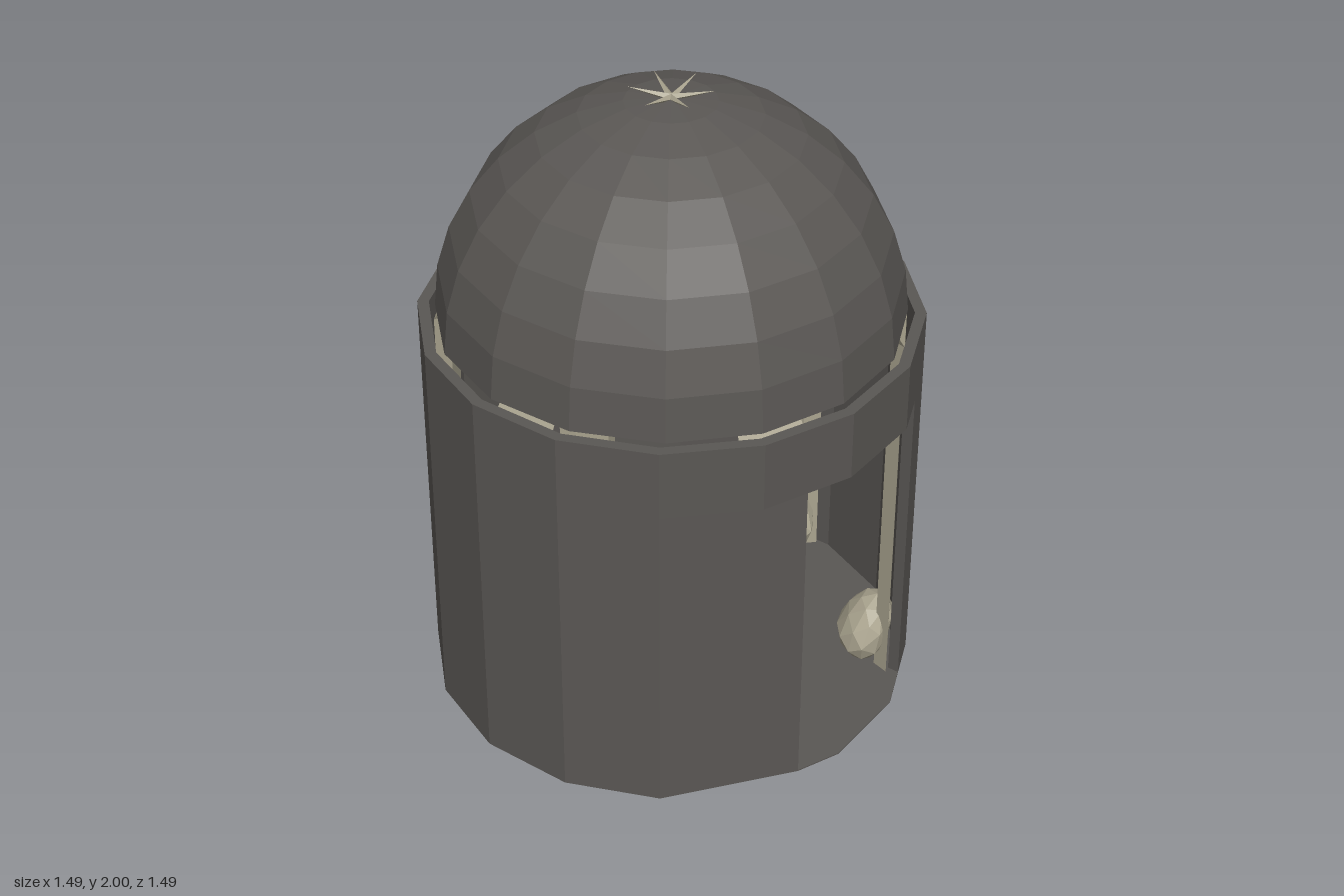
import * as THREE from 'three';

const stone = new THREE.MeshStandardMaterial({ color: 0x5a5754, flatShading: true, side: THREE.DoubleSide });
stone.name = 'darkStone';
const bone = new THREE.MeshStandardMaterial({ color: 0xaaa48f, flatShading: true, side: THREE.DoubleSide });
bone.name = 'paleBone';

const SIDES = 16, STEP = Math.PI * 2 / SIDES;
const WALL_TOP = 1.27, DOOR_TOP = 1.05, DOOR_HALF = 0.285;
const OUTER = 0.76, INNER = 0.725, DOME = 0.705;

function addMesh(parent, name, geometry, material) {
  const mesh = new THREE.Mesh(geometry, material);
  mesh.name = name;
  parent.add(mesh);
  return mesh;
}

// Corner k of a 16-sided ring, counted from the front facet
function corner(radius, k) {
  const a = -Math.PI / 2 + (k + 0.5) * STEP;
  return new THREE.Vector2(Math.cos(a) * radius, Math.sin(a) * radius);
}
const ring = (radius) => Array.from({ length: SIDES }, (_, k) => corner(radius, k));

// Where the door edge crosses the second facet
function doorPoint(radius, side) {
  const a = corner(radius, 0), b = corner(radius, 1);
  const y = a.y + (b.y - a.y) * (DOOR_HALF - a.x) / (b.x - a.x);
  return new THREE.Vector2(side * DOOR_HALF, y);
}

function extrudeUp(shape, bottom, top) {
  const g = new THREE.ExtrudeGeometry(shape, { depth: top - bottom, bevelEnabled: false });
  return g.rotateX(-Math.PI / 2).translate(0, bottom, 0);
}

// Wall outline broken by the doorway
function openRing() {
  const arc = (radius) => [doorPoint(radius, 1), ...ring(radius).slice(1, SIDES - 2), doorPoint(radius, -1)];
  return new THREE.Shape([...arc(OUTER), ...arc(INNER).reverse()]);
}

// Rib cross-sections swept up the wall and over the dome, thinning to the crown
function ribGeometry() {
  const sections = [[0.70, 0, 0, 0.1], [0.70, 0.6, 0, 0.1], [0.70, 1.24, 0, 0.1]];
  for (let i = 0; i <= 7; i++) {
    const a = 0.05 + i * 0.2;
    sections.push([0.66 * Math.cos(a), WALL_TOP + 0.66 * Math.sin(a), a, 0.095 - i * 0.012]);
  }
  const pos = [], index = [];
  sections.forEach(([r, y, a, w], i) => {
    const depth = w * 0.4;
    for (const [d, s] of [[0, -w], [0, w], [depth, w * 0.6], [depth, -w * 0.6]])
      pos.push(r - d * Math.cos(a), y - d * Math.sin(a), s);
    if (i === 0) return;
    for (let k = 0; k < 4; k++) {
      const p = (i - 1) * 4 + k, q = (i - 1) * 4 + (k + 1) % 4;
      index.push(p, p + 4, q, q, p + 4, q + 4);
    }
  });
  const g = new THREE.BufferGeometry();
  g.setAttribute('position', new THREE.Float32BufferAttribute(pos, 3));
  g.setIndex(index);
  g.computeVertexNormals();
  return g;
}

export function createModel() {
  const model = new THREE.Group();
  model.name = 'domedChamber';

  // Walls: open below the lintel, closed above it
  addMesh(model, 'lowerWall', extrudeUp(openRing(), 0, DOOR_TOP), stone);
  const band = new THREE.Shape(ring(OUTER));
  band.holes.push(new THREE.Path(ring(INNER).reverse()));
  addMesh(model, 'upperWall', extrudeUp(band, DOOR_TOP, WALL_TOP), stone);

  // Floor reaches the door line
  const floor = [doorPoint(OUTER, 1), ...ring(OUTER).slice(1, SIDES - 2), doorPoint(OUTER, -1)];
  const bottom = [...floor, corner(OUTER, SIDES - 1), corner(OUTER, 0)];
  addMesh(model, 'floor', extrudeUp(new THREE.Shape(bottom), 0, 0.004), stone);

  // Faceted dome, turned a touch from the walls
  const dome = addMesh(model, 'dome',
    new THREE.SphereGeometry(DOME, SIDES, 8, 0, Math.PI * 2, 0, Math.PI / 2), stone);
  dome.position.y = WALL_TOP;
  dome.rotation.y = STEP / 2 + 0.022;

  // Six inner ribs, each with a knobbly foot and a spike through the crown
  const rib = ribGeometry();
  const foot = new THREE.IcosahedronGeometry(1, 1).scale(0.085, 0.1, 0.13).translate(0.62, 0.11, 0);
  const p = foot.attributes.position;
  for (let i = 0; i < p.count; i++) {
    // Narrow the upper half of the foot toward the rib
    const t = Math.max(0, p.getY(i) - 0.11);
    p.setXYZ(i, p.getX(i) + t * 0.4, p.getY(i) + t * 0.3, p.getZ(i) * (1 - t * 2));
  }
  foot.computeVertexNormals();
  const spike = new THREE.ConeGeometry(0.012, 0.128, 4).translate(0, 0.064, 0)
    .rotateZ(-Math.PI / 2 + 0.22).translate(0, 1.971, 0);
  for (let i = 0; i < 6; i++) {
    const arm = new THREE.Group();
    arm.name = 'ribArm';
    arm.rotation.y = i * Math.PI / 3;
    addMesh(arm, 'rib', rib, bone);
    addMesh(arm, 'ribFoot', foot, bone);
    addMesh(arm, 'crownSpike', spike, bone);
    model.add(arm);
  }
  return model;
}
